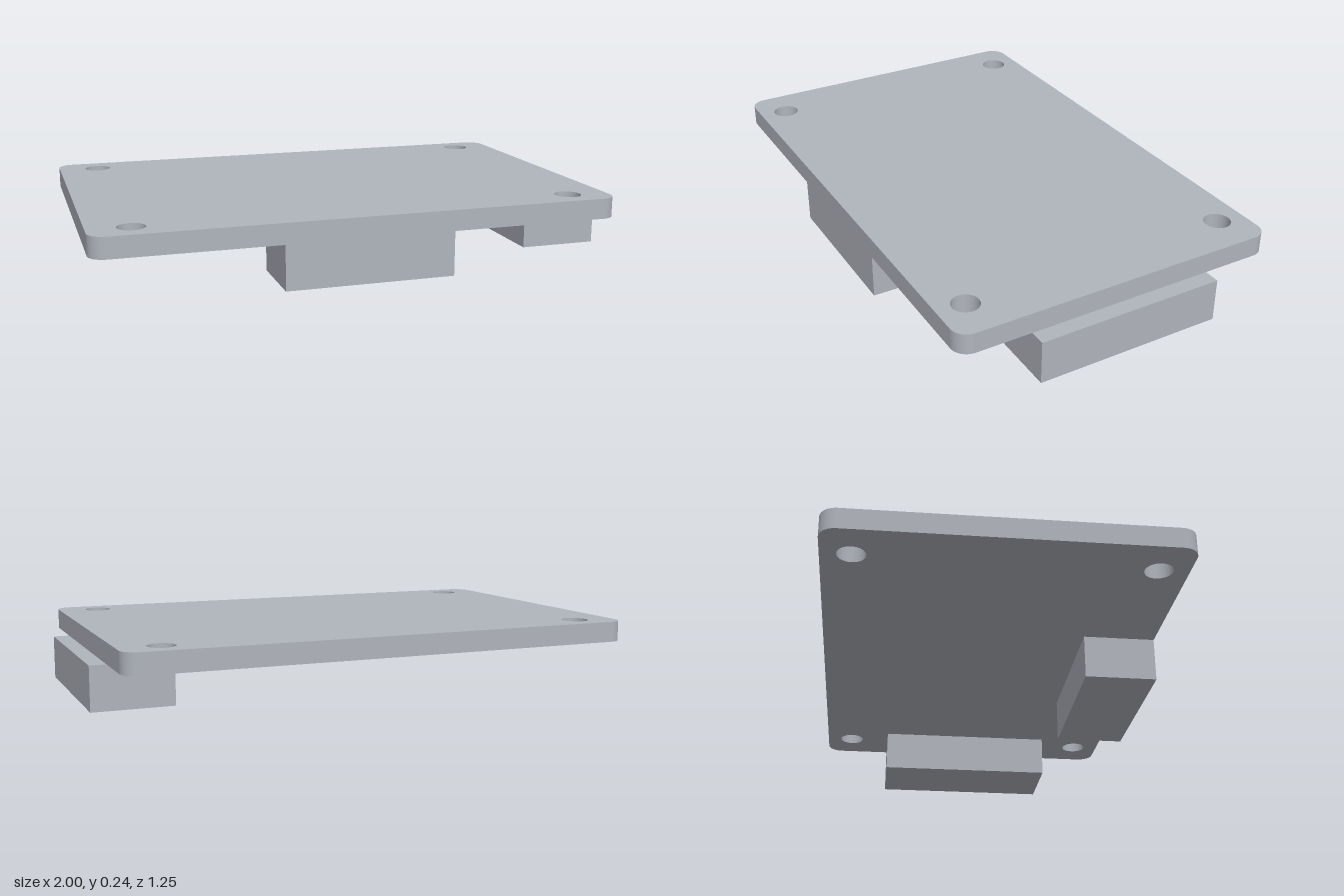
import * as THREE from 'three';

const BOTTOM = 0.166, TOP = 0.243;

export function createModel() {
  const model = new THREE.Group();
  const grey = new THREE.MeshStandardMaterial({ color: 0xb0b4bc });
  grey.name = 'light grey';

  // Board outline with rounded corners, drawn in x and -z
  const x0 = -1, x1 = 0.943, h = 0.626, r = 0.06;
  const outline = new THREE.Shape();
  outline.absarc(x1 - r, h - r, r, 0, Math.PI / 2);
  outline.absarc(x0 + r, h - r, r, Math.PI / 2, Math.PI);
  outline.absarc(x0 + r, -h + r, r, Math.PI, Math.PI * 1.5);
  outline.absarc(x1 - r, -h + r, r, Math.PI * 1.5, Math.PI * 2);
  outline.closePath();

  // Mounting holes near the corners
  for (const x of [-0.846, 0.789]) {
    for (const z of [-0.519, 0.519]) {
      const hole = new THREE.Path();
      hole.absarc(x, z, 0.05, 0, Math.PI * 2, true);
      outline.holes.push(hole);
    }
  }
  const boardGeometry = new THREE.ExtrudeGeometry(outline, {
    depth: TOP - BOTTOM, bevelEnabled: false, curveSegments: 16,
  });
  boardGeometry.rotateX(-Math.PI / 2);
  const board = new THREE.Mesh(boardGeometry, grey);
  board.name = 'board';
  board.position.y = BOTTOM;
  model.add(board);

  // Connector blocks hanging under the board
  const addBlock = (name, xa, xb, top, za, zb) => {
    const block = new THREE.Mesh(new THREE.BoxGeometry(xb - xa, top, zb - za), grey);
    block.name = name;
    block.position.set((xa + xb) / 2, top / 2, (za + zb) / 2);
    model.add(block);
  };
  addBlock('frontConnector', -0.342, 0.285, BOTTOM, 0.357, h);
  addBlock('sideConnector', 0.7, 1, 0.163, -0.356, 0.356);

  return model;
}
